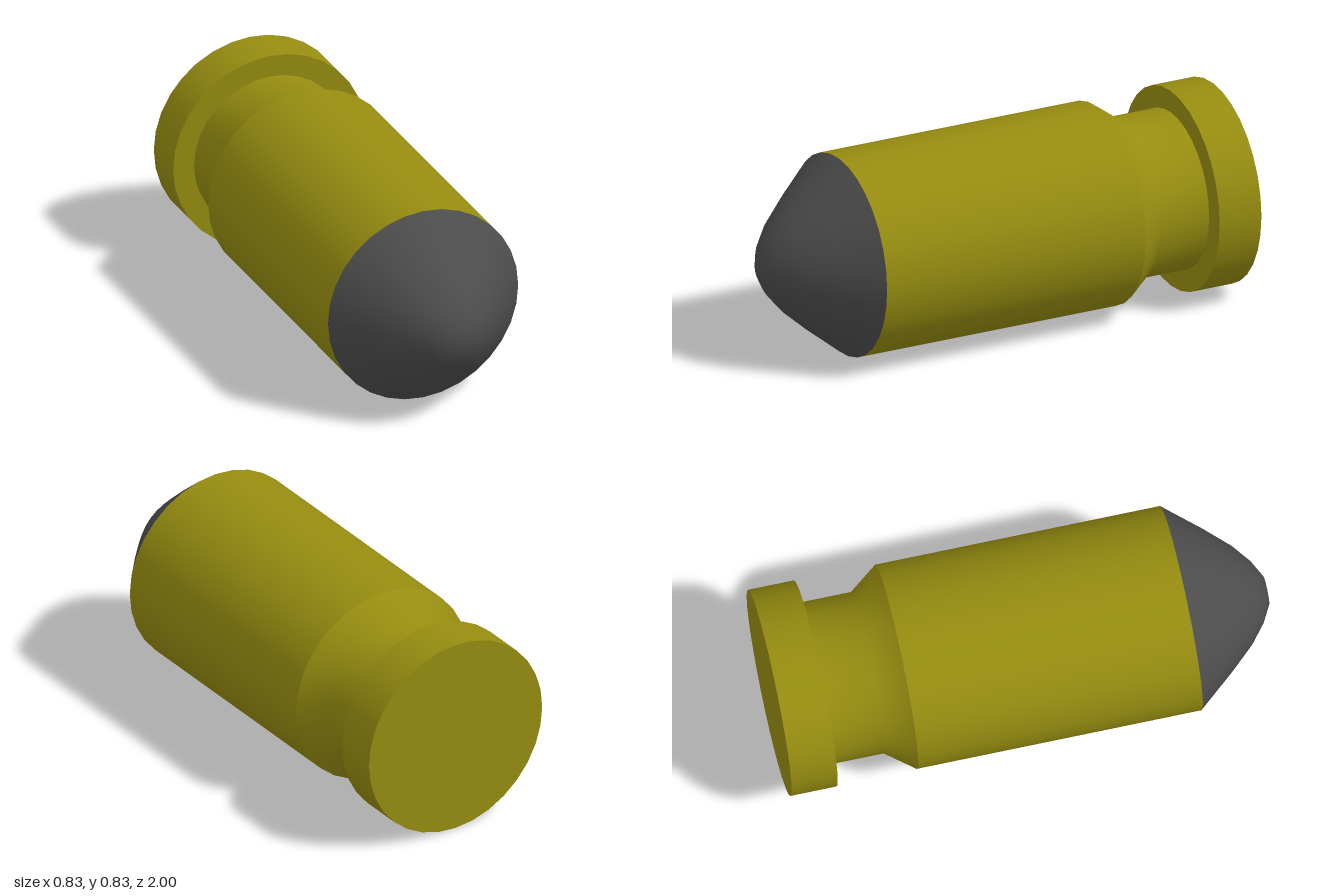
import * as THREE from 'three';

const SIDES = 32;
const CENTRE_Y = 0.414;

const brass = new THREE.MeshStandardMaterial({ color: 0x968c10 });
const lead = new THREE.MeshStandardMaterial({ color: 0x4c4c4c });

// Turn a profile of [radius, z] pairs, listed back to front, about the long axis
function turned(name, profile, material) {
  const points = profile.map(([r, z]) => new THREE.Vector2(r, z));
  const geometry = new THREE.LatheGeometry(points, SIDES);
  geometry.rotateX(Math.PI / 2);
  const mesh = new THREE.Mesh(geometry, material);
  mesh.name = name;
  mesh.position.y = CENTRE_Y;
  return mesh;
}

export function createModel() {
  const model = new THREE.Group();
  model.name = 'cartridge';

  // Base rim: separate lathes keep its edges sharp
  const rim = new THREE.Group();
  rim.name = 'rim';
  rim.add(
    turned('rimBack', [[0, -1], [0.414, -1]], brass),
    turned('rimEdge', [[0.414, -1], [0.414, -0.815]], brass),
    turned('rimFront', [[0.414, -0.815], [0.324, -0.815]], brass),
  );

  // Extractor groove blending smoothly into its flare
  const groove = turned('groove', [[0.324, -0.815], [0.324, -0.605], [0.41, -0.49]], brass);

  // Straight case wall
  const body = turned('caseBody', [[0.41, -0.49], [0.41, 0.655]], brass);

  // Rounded nose with a small flat at the front
  const nose = turned('nose', [
    [0.41, 0.655], [0.385, 0.685], [0.29, 0.8], [0.2, 0.9],
    [0.125, 0.962], [0.056, 1], [0, 1],
  ], lead);

  model.add(rim, groove, body, nose);
  return model;
}
